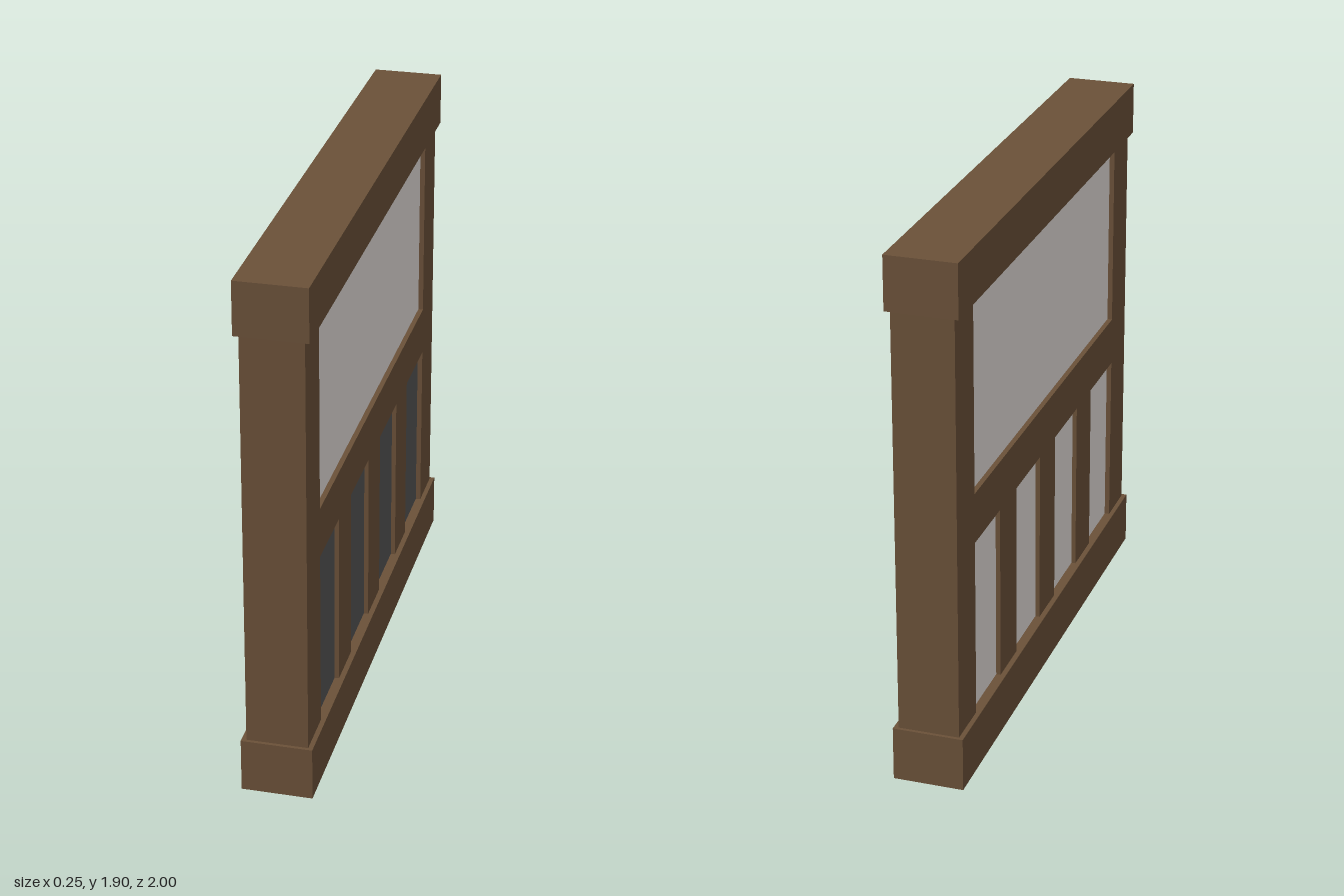
import * as THREE from 'three';

export function createModel() {
  const model = new THREE.Group();
  model.name = 'timberWallPanel';

  const wood = new THREE.MeshStandardMaterial({ color: 0x6b5139 });
  const plaster = new THREE.MeshStandardMaterial({ color: 0xe6e0dc });
  const slate = new THREE.MeshStandardMaterial({ color: 0x555555 });

  // Box given by its extents [min, max] on each axis
  function box(name, material, [x0, x1], [y0, y1], [z0, z1]) {
    const mesh = new THREE.Mesh(new THREE.BoxGeometry(x1 - x0, y1 - y0, z1 - z0), material);
    mesh.position.set((x0 + x1) / 2, (y0 + y1) / 2, (z0 + z1) / 2);
    mesh.name = name;
    model.add(mesh);
  }

  const beamX = [-0.125, 0.125];
  const postX = [-0.108, 0.108];
  const studX = [-0.106, 0.106];
  const inner = 0.81;

  // Heavy sill and top beam
  box('sillBeam', wood, beamX, [0, 0.195], [-1, 1]);
  box('topBeam', wood, beamX, [1.71, 1.9], [-1, 1]);

  // Corner posts and middle rail
  box('frontPost', wood, postX, [0.195, 1.71], [inner, 0.988]);
  box('backPost', wood, postX, [0.195, 1.71], [-0.988, -inner]);
  box('middleRail', wood, postX, [0.84, 1.02], [-inner, inner]);

  // Three short studs in the lower half
  for (const z of [-0.45, 0, 0.45]) {
    box('stud', wood, studX, [0.195, 0.84], [z - 0.09, z + 0.09]);
  }

  // Upper infill: pale on both sides
  box('upperInfill', plaster, [-0.09, 0.09], [1.02, 1.71], [-inner, inner]);

  // Lower infill between the studs: dark on the +x side, pale on the other
  for (const z of [-0.675, -0.225, 0.225, 0.675]) {
    const span = [z - 0.135, z + 0.135];
    box('lowerInfillDark', slate, [0, 0.09], [0.195, 0.84], span);
    box('lowerInfillPale', plaster, [-0.09, 0], [0.195, 0.84], span);
  }

  return model;
}
